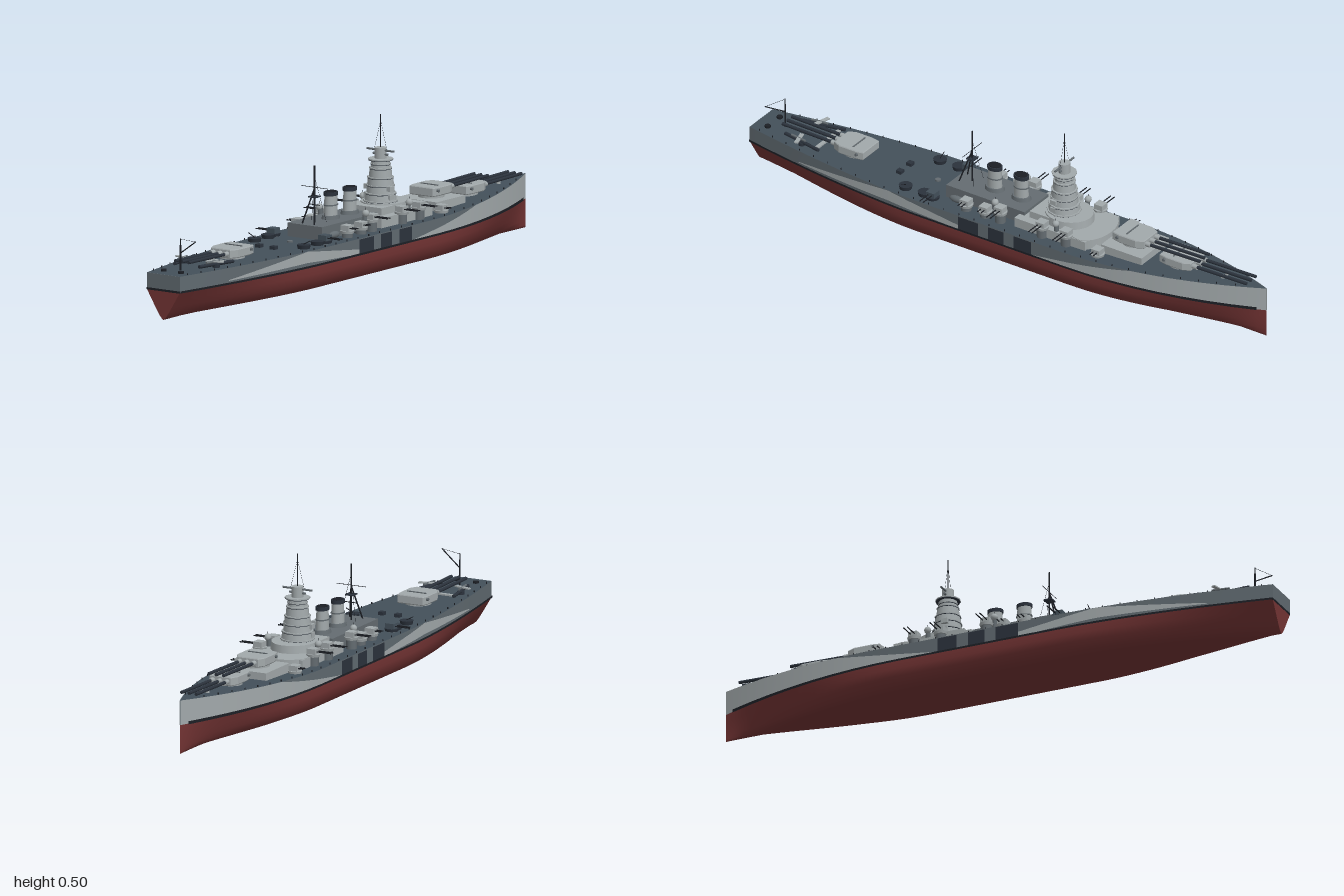
import * as THREE from 'three';

const mat = (name, color, side = THREE.FrontSide) => {
  const m = new THREE.MeshStandardMaterial({ color, side });
  m.name = name;
  return m;
};
const red = mat('bottomRed', 0x743434, THREE.DoubleSide);
const slate = mat('hullSlate', 0x606a70, THREE.DoubleSide);
const light = mat('lightGrey', 0xa2a9ab, THREE.DoubleSide);
const deckBlue = mat('deckBlueGrey', 0x43505a, THREE.DoubleSide);
const navy = mat('darkNavy', 0x2b323c, THREE.DoubleSide);
const black = mat('black', 0x1c1f25);
const grey = mat('upperDeckGrey', 0x646c71);

const WATER = 0.097;
const bowS = z => Math.max(0, (-0.3 - z) / 0.7);
const sternS = z => Math.max(0, (z - 0.3) / 0.7);
const halfBeam = z => 0.148 * (1 - bowS(z) ** 2) - 0.081 * sternS(z) ** 1.6;
const deckY = z => 0.151 + 0.029 * bowS(z) ** 1.3;

// underwater half section from keel to waterline, full amidships and V-shaped at the ends
function section(z) {
  const f = 1 - Math.max(bowS(z), sternS(z)) ** 2, w = halfBeam(z);
  const mid = [[0, .002], [.68, .01], [.85, .02], [.96, .045], [1, .07], [1, WATER]];
  const end = [[0, 0], [.15, .008], [.33, .025], [.52, .045], [.75, .07], [1, WATER]];
  const half = mid.map((m, i) => [w * (m[0] * f + end[i][0] * (1 - f)), m[1] * f + end[i][1] * (1 - f)]);
  return [...half.slice(1).reverse().map(p => [-p[0], p[1]]), ...half];
}

// surface through rows of points running from bow to stern
function loft(z0, z1, n, rowAt) {
  const pos = [], idx = [];
  let cols = 0;
  for (let i = 0; i <= n; i++) {
    const z = z0 + (z1 - z0) * i / n, row = rowAt(z, i / n);
    cols = row.length;
    row.forEach(p => pos.push(p[0], p[1], z));
    if (i < n) for (let j = 0; j < cols - 1; j++) {
      const a = i * cols + j, c = a + cols;
      idx.push(a, a + 1, c, a + 1, c + 1, c);
    }
  }
  const g = new THREE.BufferGeometry();
  g.setAttribute('position', new THREE.Float32BufferAttribute(pos, 3));
  g.setIndex(idx);
  g.computeVertexNormals();
  return g;
}

export function createModel() {
  const ship = new THREE.Group();
  ship.name = 'battleship';
  const add = (name, geo, m, x = 0, y = 0, z = 0, parent = ship) => {
    const mesh = new THREE.Mesh(geo, m);
    mesh.name = name;
    mesh.position.set(x, y, z);
    parent.add(mesh);
    return mesh;
  };
  const box = (name, m, w, h, d, x, y, z, p) => add(name, new THREE.BoxGeometry(w, h, d), m, x, y + h / 2, z, p);
  const cyl = (name, m, r0, r1, h, x, y, z, n = 16, p) =>
    add(name, new THREE.CylinderGeometry(r1, r0, h, n), m, x, y + h / 2, z, p);
  const rod = (name, m, a, b, r, p, n = 6) => {
    const A = new THREE.Vector3(...a), B = new THREE.Vector3(...b), d = B.clone().sub(A);
    const o = add(name, new THREE.CylinderGeometry(r, r, d.length(), n), m, 0, 0, 0, p);
    o.position.copy(A.add(B).multiplyScalar(0.5));
    o.quaternion.setFromUnitVectors(new THREE.Vector3(0, 1, 0), d.normalize());
    return o;
  };

  // hull
  add('lowerHull', loft(-1, 1, 60, section), red);
  add('deck', loft(-1, 1, 60, z => [[halfBeam(z), deckY(z)], [-halfBeam(z), deckY(z)]]), deckBlue);
  const tr = section(1).map(p => new THREE.Vector2(...p));
  add('lowerTransom', new THREE.ShapeGeometry(new THREE.Shape(tr)), red, 0, 0, 1);
  box('transom', slate, 2 * halfBeam(1), deckY(1) - WATER, 0.002, 0, WATER, 0.999);

  // side plating and painted camouflage; l and h are fractions of the side height
  const plate = (name, m, z0, z1, l0, h0, l1, h1, off) => {
    for (const s of [-1, 1]) {
      add(name, loft(z0, z1, 24, (z, u) => {
        const at = t => [s * (halfBeam(z) + off), WATER + (deckY(z) - WATER) * t];
        const pair = [at(l0 + (l1 - l0) * u), at(h0 + (h1 - h0) * u)];
        return s > 0 ? pair : pair.reverse();
      }), m);
    }
  };
  plate('sidePlating', slate, -1, 1, 0, 1, 0, 1, 0);
  plate('bowPaint', light, -1, -0.55, 0, 1, 0, 1, 0.001);
  plate('bowPaintWedge', light, -0.55, -0.18, 0, 1, 0, 0.1, 0.001);
  plate('aftPaintWedge', light, 0.4, 0.78, 0.3, 1, 0.2, 0.25, 0.001);
  plate('aftPaintBand', light, 0.12, 0.4, 0.05, 0.35, 0.3, 1, 0.001);
  for (const [a, b] of [[-0.17, -0.1], [-0.06, 0], [0.04, 0.12]]) plate('darkPanel', navy, a, b, 0.05, 0.95, 0.05, 0.95, 0.0015);
  plate('bootStripe', black, -0.97, 1, -0.03, 0.1, -0.03, 0.1, 0.002);
  box('transomStripe', black, 0.135, 0.007, 0.002, 0, 0.095, 1);

  // deckhouses
  box('forwardDeckhouse', light, 0.16, 0.034, 0.16, 0, 0.15, -0.48);
  box('midDeckhouse', light, 0.2, 0.034, 0.28, 0, 0.15, -0.21);
  const apron = cyl('roundDeckhouseFront', light, 0.1, 0.1, 0.036, 0, 0.15, -0.32, 24);
  apron.scale.z = 0.65;
  box('aftDeckhouse', grey, 0.14, 0.046, 0.31, 0, 0.15, 0.065);
  const bridge = cyl('bridgeBase', light, 0.078, 0.075, 0.03, 0, 0.182, -0.22, 20);
  bridge.scale.z = 1.1;
  box('bridgeWing', light, 0.14, 0.024, 0.1, 0, 0.184, -0.16);

  // bridge tower with platforms
  const tower = new THREE.Group();
  tower.name = 'bridgeTower';
  tower.position.z = -0.2;
  ship.add(tower);
  for (const [y, h, r, t] of [[.205, .035, .055, .05], [.24, .05, .047, .042], [.29, .033, .039, .036],
    [.323, .03, .033, .03], [.353, .037, .02, .02]]) cyl('towerTier', light, r, t, h, 0, y, 0, 12, tower);
  for (const [y, r] of [[.213, .058], [.238, .053], [.264, .047], [.29, .044], [.321, .038], [.335, .034], [.35, .042]]) {
    cyl('platform', light, r, r, .004, 0, y, 0, 12, tower);
    cyl('platformEdge', navy, r - .001, r - .001, .002, 0, y - .002, 0, 12, tower);
  }
  rod('rangefinder', grey, [-.055, .381, 0], [.055, .381, 0], .0035, tower, 8);
  rod('lowerRangefinder', grey, [-.03, .368, 0], [.03, .368, 0], .004, tower, 8);
  rod('topMast', black, [0, .39, 0], [0, .5, 0], .0017, tower);
  for (const s of [-1, 1]) {
    rod('stay', black, [0, .48, 0], [s * .025, .385, 0], .0005, tower, 4);
    for (const y of [.222, .25]) box('towerDirector', light, .014, .016, .022, s * .047, y, .01, tower);
  }

  // funnels
  for (const z of [-0.03, 0.075]) {
    const f = new THREE.Group();
    f.name = 'funnel';
    f.position.z = z;
    f.scale.x = 0.8;
    ship.add(f);
    cyl('funnelBase', grey, .036, .032, .014, 0, .194, 0, 16, f);
    cyl('funnelBody', light, .026, .024, .072, 0, .205, 0, 16, f);
    cyl('funnelCap', navy, .027, .027, .012, 0, .273, 0, 16, f);
    cyl('funnelMouth', black, .022, .022, .005, 0, .282, 0, 16, f);
    cyl('funnelBand', grey, .028, .028, .004, 0, .24, 0, 16, f);
  }

  // tripod mainmast
  rod('mainMast', black, [0, .19, .165], [0, .385, .165], .0025);
  for (const s of [-1, 1]) {
    rod('mastLeg', black, [s * .024, .195, .2], [0, .31, .165], .0025);
    rod('mastStay', black, [s * .03, .196, .14], [0, .35, .165], .0006, ship, 4);
  }
  rod('mastYard', black, [-.055, .313, .165], [.055, .313, .165], .001);
  rod('lowerYard', black, [-.022, .255, .165], [.022, .255, .165], .0015);
  box('mastPlatform', navy, .03, .004, .03, 0, .28, .165);

  // main turrets, built facing +z
  const houseShape = new THREE.Shape([[-.045, -.055], [.045, -.055], [.05, -.03], [.05, .035], [.038, .06], [-.038, .06], [-.05, .035], [-.05, -.03]]
    .map(p => new THREE.Vector2(...p)));
  const houseGeo = new THREE.ExtrudeGeometry(houseShape, { depth: .024, bevelEnabled: true, bevelThickness: .003, bevelSize: .002, bevelSegments: 1 })
    .rotateX(-Math.PI / 2).rotateY(Math.PI);
  const turret = (y, z, turn, rise) => {
    const t = new THREE.Group();
    t.name = 'mainTurret';
    t.position.set(0, y, z);
    t.rotation.y = turn;
    ship.add(t);
    cyl('barbette', light, .044, .044, rise + .012, 0, -rise, 0, 24, t);
    add('gunHouse', houseGeo, light, 0, .01, 0, t);
    rod('turretRangefinder', grey, [-.058, .026, -.035], [.058, .026, -.035], .005, t, 8);
    box('roofPlate', grey, .07, .004, .004, 0, .036, -.01, t);
    for (const x of [-.027, 0, .027]) {
      rod('gunSleeve', light, [x, .022, .04], [x, .022, .08], .0085, t, 10);
      rod('gunBarrel', navy, [x, .022, .06], [x, .026, .275], .0055, t, 10);
    }
  };
  turret(.165, -.665, Math.PI, .01);
  turret(.187, -.48, Math.PI, .02);
  turret(.152, .622, 0, .01);

  // items mirrored along both sides
  for (const s of [-1, 1]) {
    for (const [z, x, y, reach] of [[-.4, .1, .153, .135], [-.275, .1, .182, .17], [-.18, .1, .182, .17],
      [-.015, .1, .182, .17], [.045, .1, .165, .135], [.12, .1, .165, .14], [.25, .105, .153, .17]]) {
      const g = new THREE.Group();
      g.name = 'secondaryMount';
      ship.add(g);
      cyl('mountBase', grey, .018, .018, y - .145, s * x, .149, z, 12, g);
      cyl('mountTub', z > .2 ? navy : light, .022, .024, .009, s * x, y, z, 14, g);
      box('mountShield', z > .2 ? deckBlue : light, .032, .02, .032, s * x, y + .007, z, g);
      for (const d of [-.007, .007]) rod('mountGun', black, [s * x, y + .018, z + d], [s * reach, y + .018, z + d], .002, g);
    }
    // fire directors
    for (const z of [-.23, .01]) {
      cyl('directorPost', grey, .009, .008, .05, s * .09, .16, z, 10);
      add('directorDome', new THREE.SphereGeometry(.012, 12, 8), light, s * .094, .213, z);
      rod('directorAerial', black, [s * .094, .22, z], [s * .094, .232, z], .001);
    }
    // anti-aircraft tubs
    for (const z of [.25, .36]) {
      cyl('gunTub', navy, .02, .023, .014, s * .1, .15, z + (z < .3 ? .035 : 0), 14);
    }
    rod('tubGun', black, [s * .1, .165, .36], [s * .125, .178, .36], .0015);
    // boats beside the aft deckhouse
    for (const z of [.05, .17]) {
      const boat = add('boat', new THREE.SphereGeometry(.012, 10, 8), grey, s * .083, .165, z);
      boat.scale.z = 2.4;
    }
    // catapults and aircraft wings on the quarterdeck
    rod('catapult', navy, [s * .078, .162, .72], [s * .05, .162, .87], .006, ship, 8);
    cyl('catapultPivot', navy, .012, .012, .012, s * .064, .15, .795, 12);
    const wing = box('aircraftWing', light, .06, .004, .014, s * .066, .17, .805);
    wing.rotation.y = s * 0.25;
    rod('aircraftBody', grey, [s * .066, .171, .78], [s * .058, .171, .84], .004, ship, 8);
    // edge bollards, anchors and capstans
    for (let z = -.9; z < .98; z += .06) cyl('bollard', black, .0018, .0018, .006, s * (halfBeam(z) - .005), deckY(z), z, 6);
    cyl('capstan', light, .007, .006, .01, s * .012, deckY(-.84), -.835, 10);
    cyl('sternCapstan', black, .01, .01, .008, s * .035, .15, .95, 10);
    box('ventilator', navy, .02, .012, .02, s * .03, .15, .43);
  }
  box('wingRack', light, .13, .005, .014, 0, .158, .735);
  cyl('deckHatch', grey, .01, .01, .006, 0, .15, .3, 10);

  // stern crane
  rod('cranePost', black, [0, .15, .905], [0, .235, .905], .003);
  rod('craneBoom', black, [0, .208, .905], [.08, .258, .93], .002);
  rod('craneCable', black, [0, .255, .905], [.08, .258, .93], .0006, ship, 4);
  rod('craneTop', black, [0, .235, .905], [0, .257, .905], .0015);
  return ship;
}
